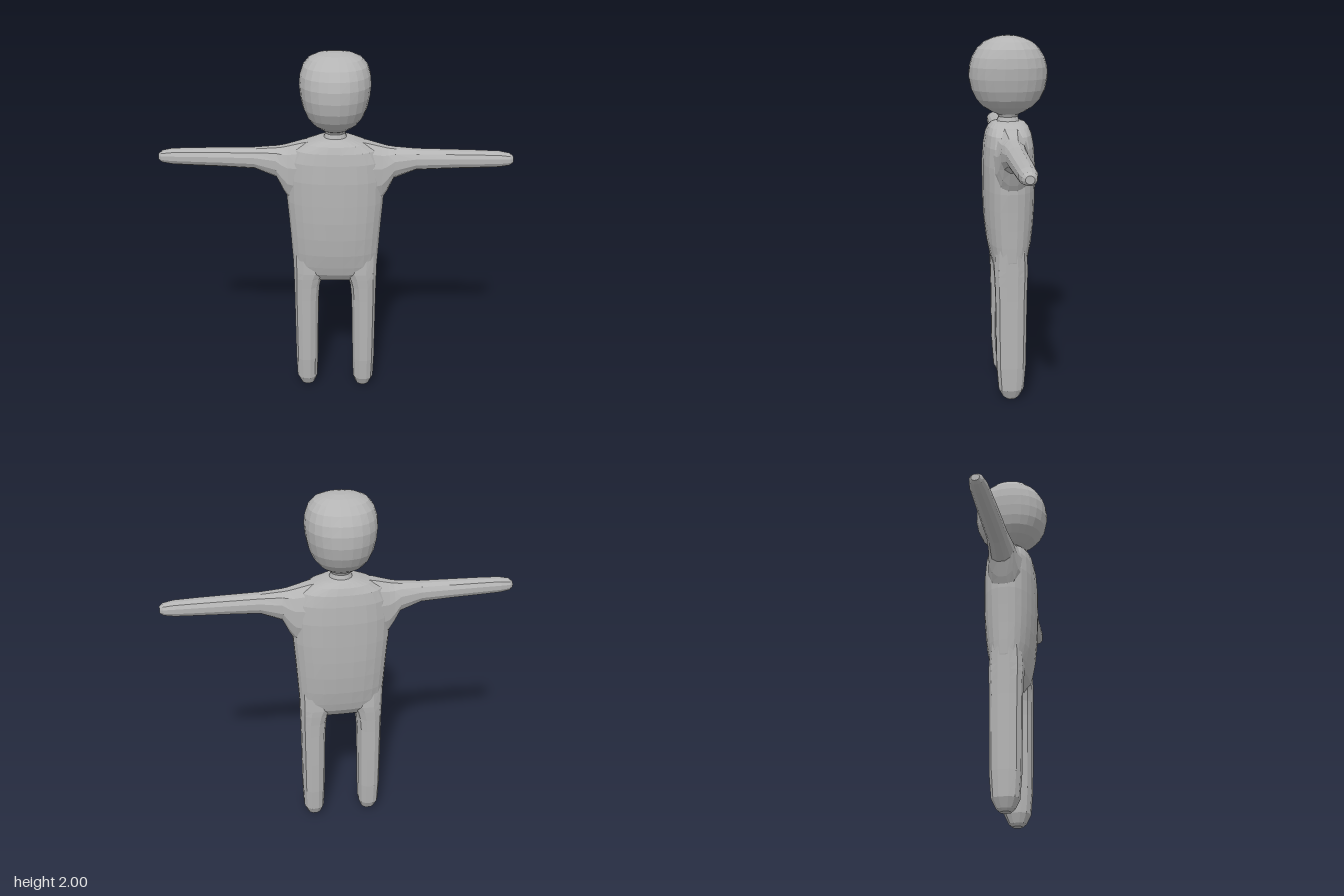
import * as THREE from 'three';

// Skin a row of superellipse rings. Each ring is { c: centre, u, v: half-axis vectors },
// with u x v pointing along the direction of travel.
function loft(rings, sides, power) {
  const pos = [], index = [];
  const n = rings.length;
  const soft = (t) => Math.sign(t) * Math.pow(Math.abs(t), 2 / power);
  for (const { c, u, v } of rings) {
    for (let i = 0; i < sides; i++) {
      const a = ((i + 0.5) / sides) * Math.PI * 2;
      const p = c.clone().addScaledVector(u, soft(Math.cos(a))).addScaledVector(v, soft(Math.sin(a)));
      pos.push(p.x, p.y, p.z);
    }
  }
  for (const k of [0, n - 1]) pos.push(...rings[k].c.toArray());
  for (let r = 0; r < n - 1; r++) {
    for (let i = 0; i < sides; i++) {
      const j = (i + 1) % sides;
      const a = r * sides + i, b = r * sides + j;
      index.push(a, b, b + sides, a, b + sides, a + sides);
    }
  }
  for (let i = 0; i < sides; i++) {
    const j = (i + 1) % sides, top = (n - 1) * sides;
    index.push(n * sides, j, i, n * sides + 1, top + i, top + j);
  }
  const g = new THREE.BufferGeometry();
  g.setAttribute('position', new THREE.Float32BufferAttribute(pos, 3));
  g.setIndex(index);
  g.computeVertexNormals();
  return g;
}

const vec = (x, y, z) => new THREE.Vector3(x, y, z);

// Upright form: rows of [y, halfWidth, halfDepth, centreX], bottom to top
const upright = (rows, sides, power) => loft(
  rows.map(([y, w, d, x = 0]) => ({ c: vec(x, y, 0), u: vec(0, 0, d), v: vec(w, 0, 0) })), sides, power);

// Sideways form: rows of [x, bottomY, topY, halfDepth], inner to outer
const sideways = (rows, side, sides, power) => loft(
  rows.map(([x, b, t, d]) => ({
    c: vec(side * x, (b + t) / 2, 0), u: vec(0, (t - b) / 2, 0), v: vec(0, 0, side * d),
  })), sides, power);

export function createModel() {
  const model = new THREE.Group();
  model.name = 'figure';
  const grey = new THREE.MeshStandardMaterial({ color: 0xb4b4b4, flatShading: true });
  grey.name = 'plain grey';
  const add = (name, geometry) => {
    const mesh = new THREE.Mesh(geometry, grey);
    mesh.name = name;
    model.add(mesh);
  };

  // Head: narrow in x, round in z
  add('head', upright([
    [1.585, 0.05, 0.05], [1.6, 0.075, 0.085], [1.63, 0.115, 0.135], [1.67, 0.147, 0.172],
    [1.72, 0.168, 0.197], [1.78, 0.181, 0.209], [1.84, 0.187, 0.207], [1.89, 0.182, 0.192],
    [1.935, 0.167, 0.164], [1.97, 0.138, 0.125], [1.99, 0.096, 0.078], [2, 0.04, 0.03],
  ], 24, 2.2));

  add('neck', upright([
    [1.53, 0.075, 0.075], [1.555, 0.06, 0.06], [1.575, 0.053, 0.053], [1.61, 0.068, 0.07],
  ], 16, 2));

  // Torso, from the crotch to the shoulder slope
  add('torso', upright([
    [0.72, 0.19, 0.055], [0.77, 0.225, 0.092], [0.82, 0.236, 0.106], [0.9, 0.241, 0.122],
    [1, 0.247, 0.133], [1.1, 0.254, 0.139], [1.2, 0.262, 0.141], [1.33, 0.262, 0.141],
    [1.43, 0.25, 0.134], [1.49, 0.22, 0.123], [1.525, 0.16, 0.108], [1.545, 0.1, 0.09],
    [1.553, 0.06, 0.07],
  ], 24, 2.45));

  for (const [label, side] of [['left', 1], ['right', -1]]) {
    // Arm with flared shoulder and armpit
    add(label + 'Arm', sideways([
      [0.06, 1.16, 1.548, 0.115], [0.17, 1.17, 1.53, 0.108], [0.25, 1.2, 1.508, 0.085],
      [0.28, 1.25, 1.5, 0.077], [0.315, 1.325, 1.494, 0.07], [0.43, 1.372, 1.485, 0.057],
      [0.6, 1.381, 1.482, 0.054], [0.75, 1.386, 1.479, 0.05], [0.87, 1.391, 1.475, 0.046],
      [0.925, 1.4, 1.464, 0.036], [0.943, 1.412, 1.45, 0.021],
    ], side, 12, 2.2));

    // Leg with rounded foot
    add(label + 'Leg', upright([
      [0, 0.028, 0.028, side * 0.163], [0.015, 0.04, 0.047, side * 0.163],
      [0.065, 0.06, 0.072, side * 0.165], [0.2, 0.065, 0.083, side * 0.165],
      [0.4, 0.067, 0.086, side * 0.164], [0.6, 0.07, 0.088, side * 0.162],
      [0.68, 0.074, 0.09, side * 0.159], [0.735, 0.082, 0.093, side * 0.152],
      [0.77, 0.092, 0.094, side * 0.143], [0.9, 0.095, 0.085, side * 0.142],
    ], 12, 2.5));
  }
  return model;
}
